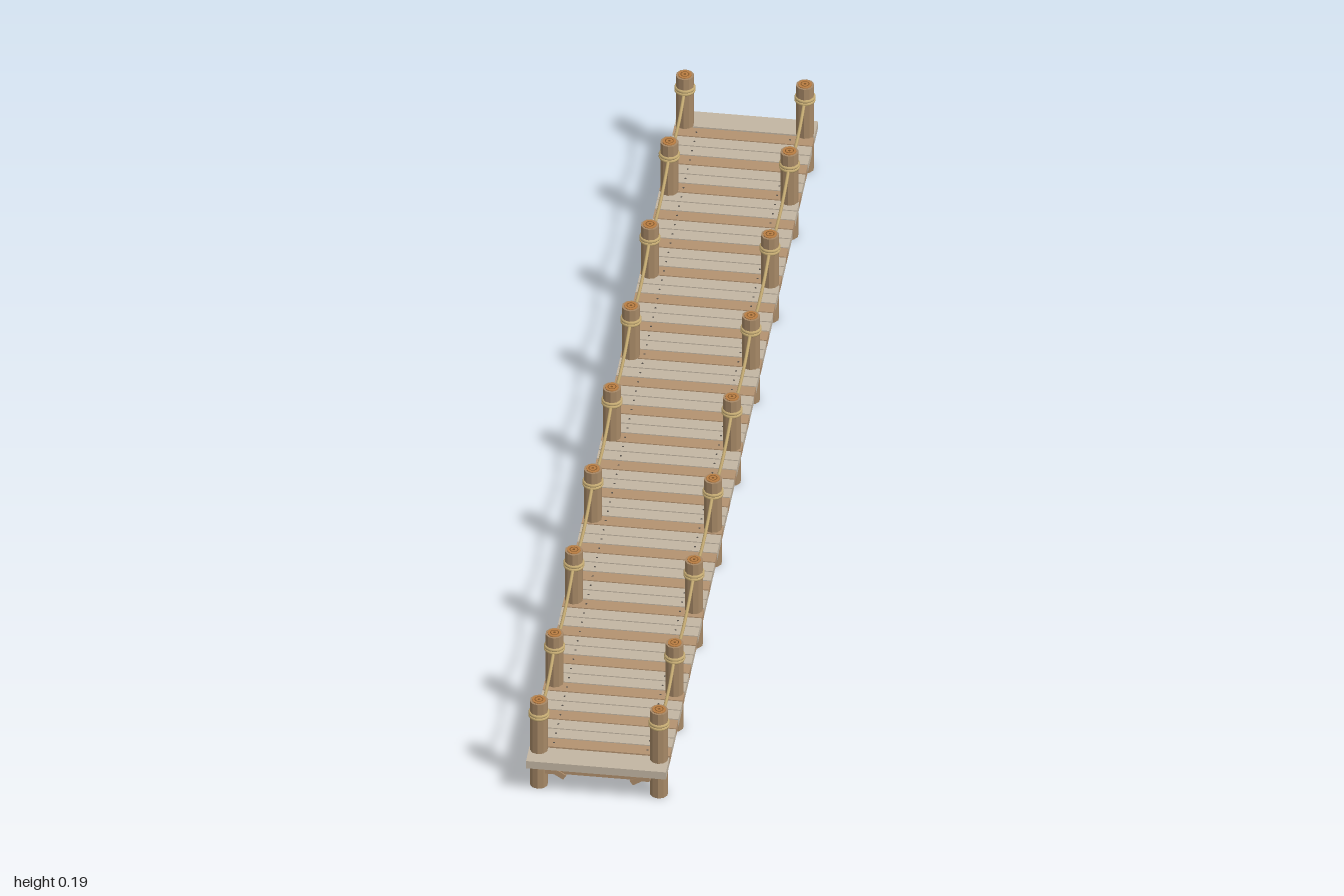
import * as THREE from 'three';

const mat = (name, color, flat = false) => {
  const m = new THREE.MeshStandardMaterial({ color, flatShading: flat });
  m.name = name;
  return m;
};

export function createModel() {
  const dock = new THREE.Group();
  dock.name = 'dock';
  const greyWood = mat('weatheredWood', 0xc2b5a2);
  const brownWood = mat('brownWood', 0xb39270);
  const postWood = mat('postWood', 0xa68866, true);
  const beamWood = mat('beamWood', 0xae8d6b);
  const endGrain = mat('endGrain', 0xb97d42);
  const ringWood = mat('grainRing', 0x7d5226);
  const ropeMat = mat('rope', 0xc4aa72);
  const nailMat = mat('nail', 0x55504a);

  const add = (name, geometry, material, x = 0, y = 0, z = 0, parent = dock) => {
    const m = new THREE.Mesh(geometry, material);
    m.name = name;
    m.position.set(x, y, z);
    parent.add(m);
    return m;
  };
  const box = (w, h, d) => new THREE.BoxGeometry(w, h, d);

  // Deck: narrow planks, every third one brown, with a wider board at each end
  const pitch = 0.0284;
  const plankGeo = box(0.254, 0.016, pitch - 0.0025);
  const nailGeo = new THREE.CylinderGeometry(0.002, 0.002, 0.001, 6);
  for (let i = -33; i <= 33; i++) {
    add('plank', plankGeo, i % 3 === 0 ? brownWood : greyWood, 0, 0.069, pitch * i);
    for (const x of [-0.085, 0.085]) add('nail', nailGeo, nailMat, x, 0.0768, pitch * i);
  }
  for (const s of [-1, 1]) add('endBoard', box(0.254, 0.016, 0.046), greyWood, 0, 0.069, s * 0.977);

  // Stringers along both sides
  for (const s of [-1, 1]) add('stringer', box(0.02, 0.019, 1.97), beamWood, s * 0.085, 0.051, 0);

  // Posts with cut tops and two rope wraps
  const postZ = [-0.96, -0.755, -0.5, -0.25, 0, 0.25, 0.5, 0.755, 0.96];
  const postGeo = new THREE.CylinderGeometry(0.0165, 0.0165, 0.186, 10);
  const capGeo = new THREE.CylinderGeometry(0.0125, 0.0125, 0.002, 12);
  const ringGeo = new THREE.RingGeometry(0.0065, 0.008, 16).rotateX(-Math.PI / 2);
  const pithGeo = new THREE.CircleGeometry(0.0025, 10).rotateX(-Math.PI / 2);
  const wrapGeo = new THREE.TorusGeometry(0.0162, 0.0031, 8, 20).rotateX(Math.PI / 2);
  const px = 0.109;
  for (const s of [-1, 1]) {
    for (const z of postZ) {
      const post = new THREE.Group();
      post.name = 'post';
      post.position.set(s * px, 0, z);
      dock.add(post);
      add('postShaft', postGeo, postWood, 0, 0.093, 0, post);
      add('postTop', capGeo, endGrain, 0, 0.1865, 0, post);
      add('grainRing', ringGeo, ringWood, 0, 0.1878, 0, post);
      add('pith', pithGeo, ringWood, 0, 0.1878, 0, post);
      for (const y of [0.1535, 0.1597]) add('ropeWrap', wrapGeo, ropeMat, 0, y, 0, post);
    }
    // Rope sagging between neighbouring posts
    for (let i = 0; i < postZ.length - 1; i++) {
      const points = [];
      for (let k = 0; k <= 8; k++) {
        const t = k / 8;
        points.push(new THREE.Vector3(s * px, 0.157 - 0.08 * t * (1 - t),
          THREE.MathUtils.lerp(postZ[i], postZ[i + 1], t)));
      }
      add('rope', new THREE.TubeGeometry(new THREE.CatmullRomCurve3(points), 16, 0.003, 6), ropeMat);
    }
  }

  // Cross beams joining each pair of posts
  for (const z of postZ) add('crossBeam', box(0.19, 0.024, 0.024), beamWood, 0, 0.046, z);

  // Short angled braces at both ends
  for (const z of [-0.96, 0.96])
    for (const s of [-1, 1]) {
      const brace = add('brace', box(0.044, 0.011, 0.028), beamWood, s * 0.079, 0.0395, z);
      brace.rotation.z = s * 0.57;
    }
  return dock;
}
